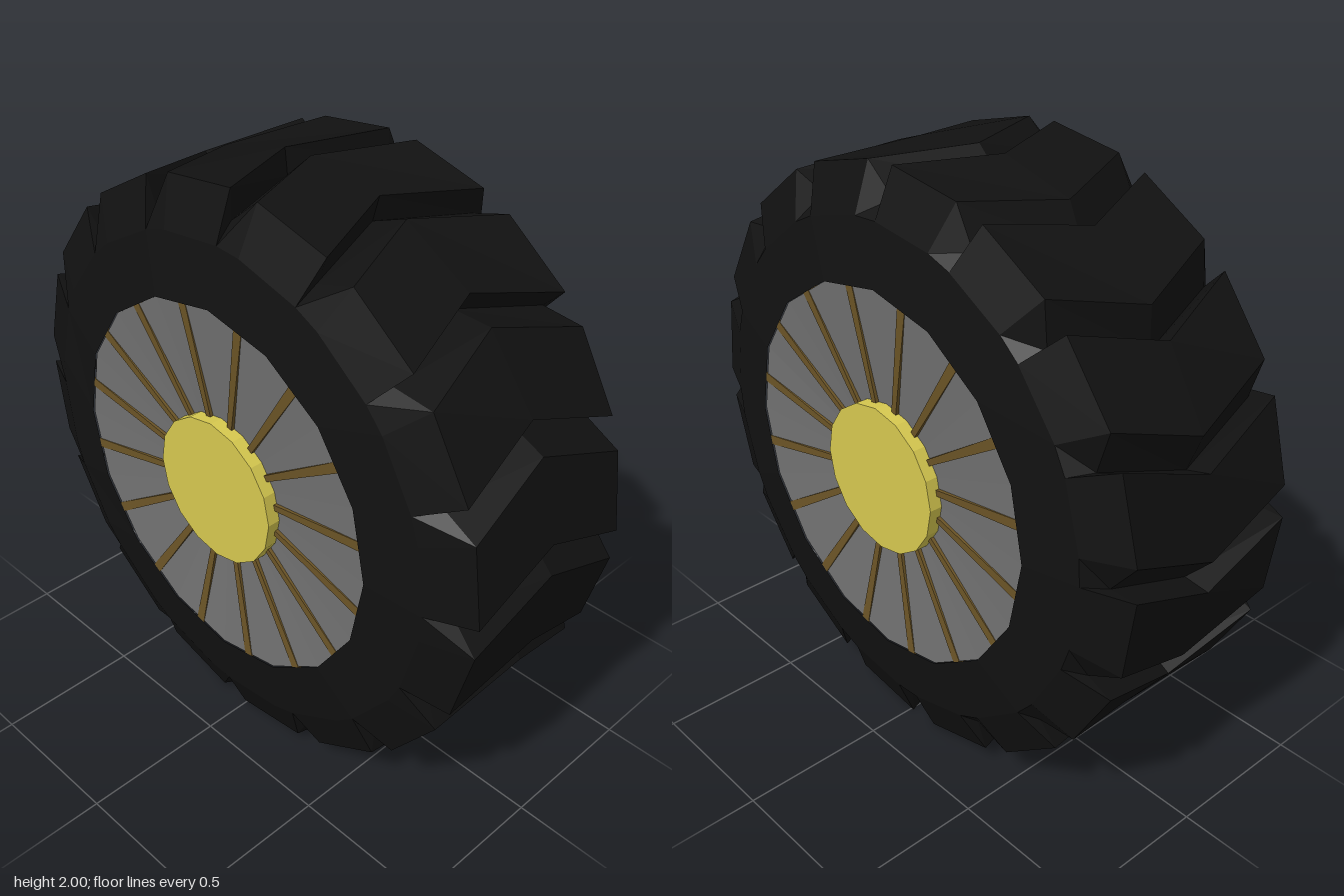
import * as THREE from 'three';

const SIDES = 16;
const STEP = (Math.PI * 2) / SIDES;
const DEG = Math.PI / 180;

const mat = (color) => new THREE.MeshStandardMaterial({ color, flatShading: true });

function addMesh(parent, name, geometry, material) {
  const mesh = new THREE.Mesh(geometry, material);
  mesh.name = name;
  parent.add(mesh);
  return mesh;
}

// Flat-shaded skin over a grid of points; columns wrap around, collapsed triangles are dropped
function skin(columns) {
  const pos = [];
  const tri = (a, b, c) => {
    if (new THREE.Triangle(a, b, c).getArea() > 1e-7) {
      for (const p of [a, b, c]) pos.push(p.x, p.y, p.z);
    }
  };
  columns.forEach((col, i) => {
    const next = columns[(i + 1) % columns.length];
    for (let j = 0; j < col.length - 1; j++) {
      tri(col[j], col[j + 1], next[j]);
      tri(next[j], col[j + 1], next[j + 1]);
    }
  });
  const g = new THREE.BufferGeometry();
  g.setAttribute('position', new THREE.Float32BufferAttribute(pos, 3));
  g.computeVertexNormals();
  return g;
}

// Tire with stepped chevron treads: each tooth runs ramp start, foot of step, tip of step
function tireGeometry() {
  // z, radius, tread depth, sweep of the chevron, angle from ramp to step
  const half = [
    [0.42, 0.645, 0, 0, 0],
    [0.39, 0.845, 0, -7.5 * DEG, 6.4 * DEG],
    [0.325, 1, 0.1, -7 * DEG, 6.4 * DEG],
  ];
  const stations = [
    ...half,
    [0, 1, 0.09, 0, 6.4 * DEG],
    ...half.slice().reverse().map(([z, ...rest]) => [-z, ...rest]),
  ];
  const columns = [];
  for (let k = 0; k < SIDES; k++) {
    for (const [along, low] of [[0, 0], [1, 1], [1, 0]]) {
      columns.push(stations.map(([z, r, depth, sweep, ramp]) => {
        const a = k * STEP + sweep + along * ramp;
        const radius = r - low * depth;
        return new THREE.Vector3(Math.cos(a) * radius, Math.sin(a) * radius, z);
      }));
    }
  }
  return skin(columns);
}

// Spoke bar lying along x, wider at the rim end
function spokeGeometry() {
  const length = 0.4;
  const g = new THREE.BoxGeometry(length, 0.034, 0.04);
  const p = g.attributes.position;
  for (let i = 0; i < p.count; i++) {
    const inner = p.getX(i) < 0;
    if (inner) p.setY(i, p.getY(i) * 0.6);
    p.setZ(i, p.getZ(i) + (inner ? 0.377 : 0.397));
  }
  g.translate(0.24 + length / 2, 0, 0);
  g.computeVertexNormals();
  return g;
}

export function createModel() {
  const model = new THREE.Group();
  model.name = 'wheel';
  const wheel = new THREE.Group();
  wheel.name = 'wheelBody';
  wheel.position.y = 1;
  model.add(wheel);

  const rubber = mat(0x111111);
  const metal = mat(0x707070);
  const bronze = mat(0x6b5426);
  const yellow = mat(0xd6c84f);

  addMesh(wheel, 'tire', tireGeometry(), rubber);

  // Slightly dished rim disc closing both sides
  const rim = new THREE.LatheGeometry(
    [[0.001, -0.385], [0.25, -0.385], [0.645, -0.415], [0.645, 0.415], [0.25, 0.385], [0.001, 0.385]]
      .map(([r, y]) => new THREE.Vector2(r, y)),
    SIDES
  );
  addMesh(wheel, 'rimDisc', rim, metal).rotation.x = Math.PI / 2;

  // Hub passing through the wheel
  const hub = new THREE.CylinderGeometry(0.255, 0.255, 0.86, SIDES);
  addMesh(wheel, 'hub', hub, yellow).rotation.x = Math.PI / 2;

  // Spokes on both faces
  const spoke = spokeGeometry();
  for (const face of [0, Math.PI]) {
    const spokes = new THREE.Group();
    spokes.name = face ? 'backSpokes' : 'frontSpokes';
    spokes.rotation.y = face;
    wheel.add(spokes);
    for (let k = 0; k < SIDES; k++) {
      addMesh(spokes, 'spoke', spoke, bronze).rotation.z = (k + 0.5) * STEP;
    }
  }
  return model;
}
